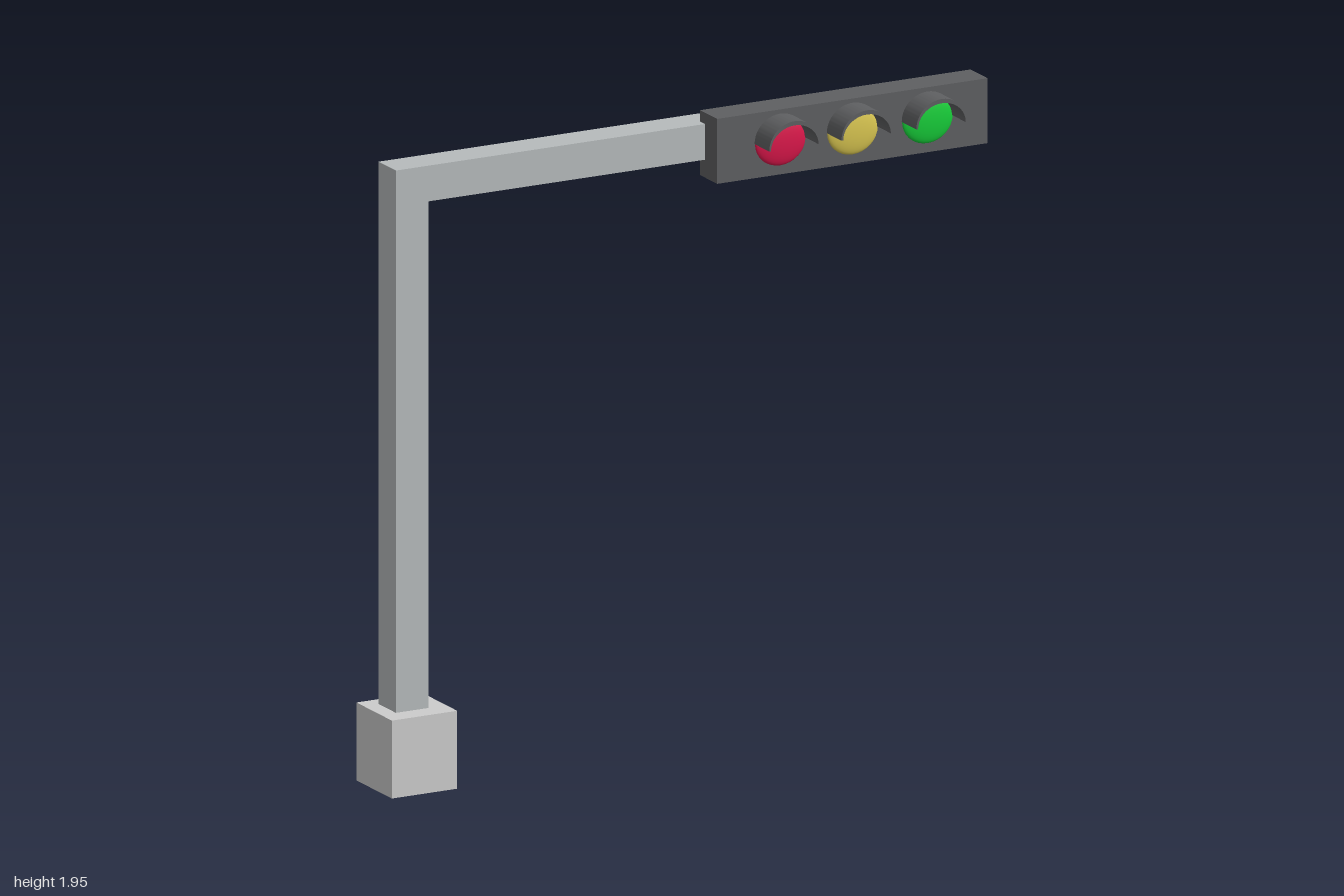
import * as THREE from 'three';
import { toCreasedNormals } from 'three/addons/utils/BufferGeometryUtils.js';

const paint = (color) => new THREE.MeshStandardMaterial({ color });

export function createModel() {
  const model = new THREE.Group();
  const concrete = paint(0xcccccc);
  const steel = paint(0xb6bbbc);
  const dark = paint(0x5e5f61);

  function add(name, geometry, material, parent = model) {
    const mesh = new THREE.Mesh(geometry, material);
    mesh.name = name;
    parent.add(mesh);
    return mesh;
  }

  // Box given by its min and max corners
  function box(name, [x0, y0, z0], [x1, y1, z1], material) {
    add(name, new THREE.BoxGeometry(x1 - x0, y1 - y0, z1 - z0), material)
      .position.set((x0 + x1) / 2, (y0 + y1) / 2, (z0 + z1) / 2);
  }

  // Footing, post, overhanging arm and signal housing
  box('base', [-1, 0, -0.16], [-0.78, 0.24, 0.06], concrete);
  box('post', [-0.95, 0.24, -0.115], [-0.84, 1.8, -0.007], steel);
  box('arm', [-0.95, 1.8, -0.115], [0.925, 1.91, -0.007], steel);
  box('signalHousing', [0.09, 1.745, -0.037], [1, 1.945, 0.069], dark);

  // Crescent hood, thickest at the top
  const crescent = new THREE.Shape();
  crescent.absellipse(0, 0, 0.086, 0.082, 0, Math.PI, false, 0);
  crescent.absellipse(0, 0, 0.08, 0.069, Math.PI, 0, true, 0);
  const hoodGeometry = toCreasedNormals(
    new THREE.ExtrudeGeometry(crescent, { depth: 0.096, bevelEnabled: false, curveSegments: 24 }), 0.6);

  // Shallow domed lens, facing +z
  const lensGeometry = new THREE.SphereGeometry(1, 32, 10, 0, Math.PI * 2, 0, Math.PI / 2);
  lensGeometry.rotateX(Math.PI / 2).scale(0.085, 0.077, 0.016);

  [['red', 0.302, 0xdc174b], ['yellow', 0.545, 0xdac751], ['green', 0.797, 0x17d03a]]
    .forEach(([name, x, color]) => {
      const lamp = new THREE.Group();
      lamp.name = name + 'Lamp';
      lamp.position.set(x, 1.85, 0.069);
      add(name + 'Lens', lensGeometry, paint(color), lamp);
      add(name + 'Hood', hoodGeometry, dark, lamp).position.z = -0.005;
      model.add(lamp);
    });

  return model;
}
